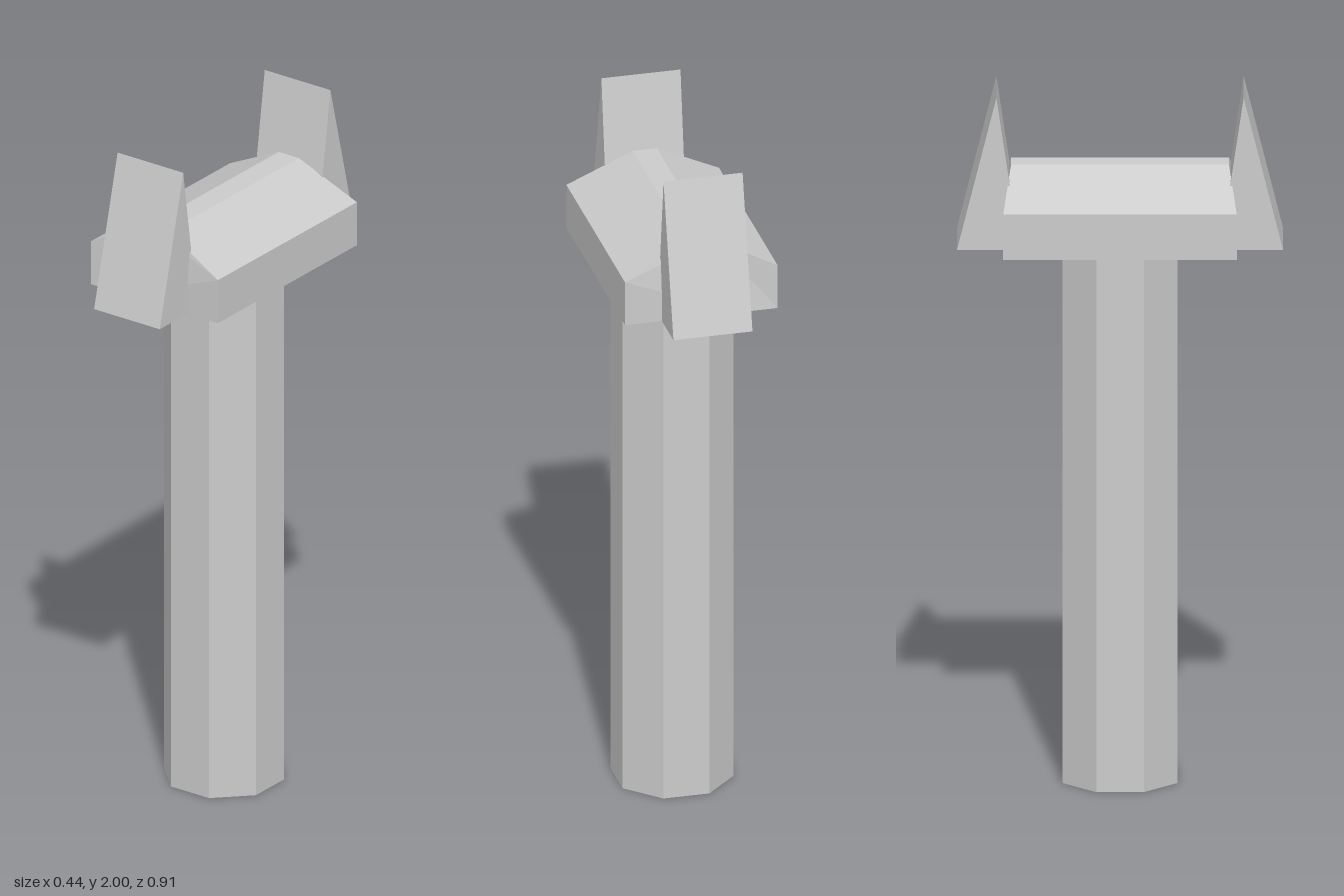
import * as THREE from 'three';

const material = new THREE.MeshStandardMaterial({ color: 0xcccccc, flatShading: true });

function part(name, geometry) {
  const mesh = new THREE.Mesh(geometry, material);
  mesh.name = name;
  return mesh;
}

// Prism from a 2D outline, centred along its depth
function prism(points, depth) {
  const shape = new THREE.Shape(points.map(([x, y]) => new THREE.Vector2(x, y)));
  const geometry = new THREE.ExtrudeGeometry(shape, { depth, bevelEnabled: false });
  return geometry.translate(0, 0, -depth / 2);
}

export function createModel() {
  const model = new THREE.Group();
  const base = 1.56; // underside of the head

  // Octagonal shaft, flats facing the axes
  const apothem = 0.16;
  const radius = apothem / Math.cos(Math.PI / 8);
  const shaft = new THREE.CylinderGeometry(radius, radius, base, 8);
  shaft.rotateY(Math.PI / 8).translate(0, base / 2, 0);
  model.add(part('shaft', shaft));

  // Roof-shaped head, its ridge slightly shorter than its eaves
  const head = prism([
    [-0.22, base], [-0.114, base], [0.114, base], [0.22, base],
    [0.22, 1.692], [0.035, 1.785], [-0.035, 1.785], [-0.22, 1.692],
  ], 0.652);
  const pos = head.attributes.position;
  for (let i = 0; i < pos.count; i++) {
    if (pos.getY(i) > 1.75) pos.setZ(i, Math.sign(pos.getZ(i)) * 0.304);
  }
  head.computeVertexNormals();
  model.add(part('head', head));

  // Wedge prongs at both ends: sloped outside, steep inside
  for (const [name, turn] of [['frontProng', 0], ['backProng', Math.PI]]) {
    const wedge = prism([[-0.455, base], [-0.28, base], [-0.345, 2]], 0.228);
    wedge.rotateY(Math.PI / 2 + turn);
    model.add(part(name, wedge));
  }
  return model;
}
